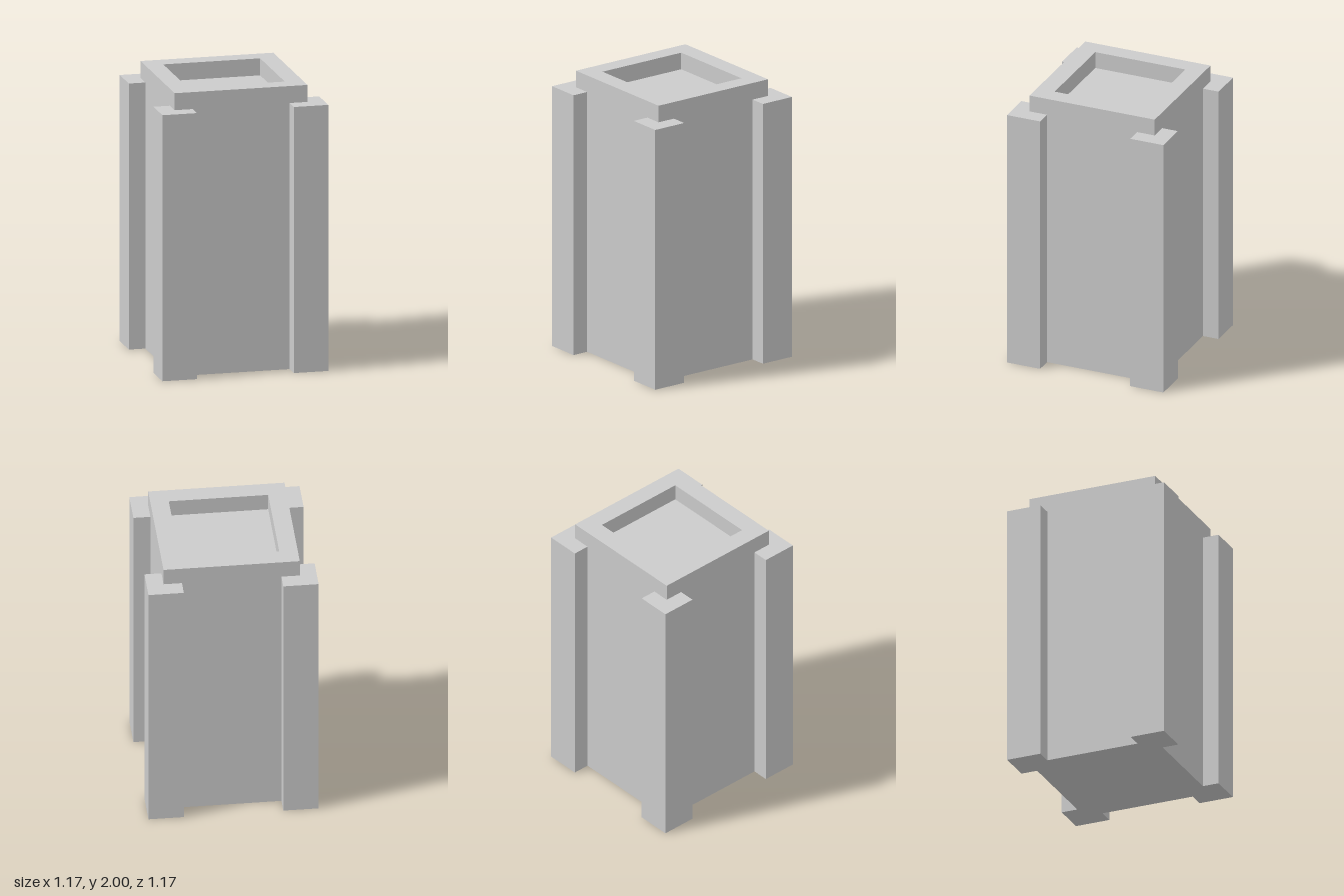
import * as THREE from 'three';

const HEIGHT = 2, POST_HEIGHT = 1.88;
const BODY = 0.47;                       // half width of the square body
const OUTER = 0.587;                     // outer face of the corner posts
const INNER_X = 0.343, INNER_Z = 0.338;  // inner faces of posts and recess walls

const material = new THREE.MeshStandardMaterial({ color: 0xcccccc, flatShading: true });

function toShape(points) {
  return new THREE.Shape(points.map(([x, z]) => new THREE.Vector2(x, -z)));
}

function rectangle(w, d) {
  return [[-w, d], [w, d], [w, -d], [-w, -d]];
}

// Raises a plan outline (x, z) from y0 to y1
function raise(name, shape, y0, y1) {
  const geometry = new THREE.ExtrudeGeometry(shape, { depth: y1 - y0, bevelEnabled: false });
  geometry.rotateX(-Math.PI / 2).translate(0, y0, 0);
  const mesh = new THREE.Mesh(geometry, material);
  mesh.name = name;
  return mesh;
}

export function createModel() {
  const model = new THREE.Group();
  model.name = 'squarePillar';

  // Body; its top is the floor of the recess
  model.add(raise('body', toShape(rectangle(BODY, BODY)), 0, POST_HEIGHT));

  // Raised rim around the recess
  const rim = toShape(rectangle(BODY, BODY));
  rim.holes.push(toShape(rectangle(INNER_X, INNER_Z)));
  model.add(raise('rim', rim, POST_HEIGHT, HEIGHT));

  // Corner posts wrapped around the body's edges
  for (const [sx, side] of [[1, 'Left'], [-1, 'Right']]) {
    for (const [sz, end] of [[1, 'front'], [-1, 'back']]) {
      const outline = [
        [INNER_X, BODY], [INNER_X, OUTER], [OUTER, OUTER],
        [OUTER, INNER_Z], [BODY, INNER_Z], [BODY, BODY],
      ].map(([x, z]) => [x * sx, z * sz]);
      model.add(raise(`${end}${side}Post`, toShape(outline), 0, POST_HEIGHT));
    }
  }

  return model;
}
